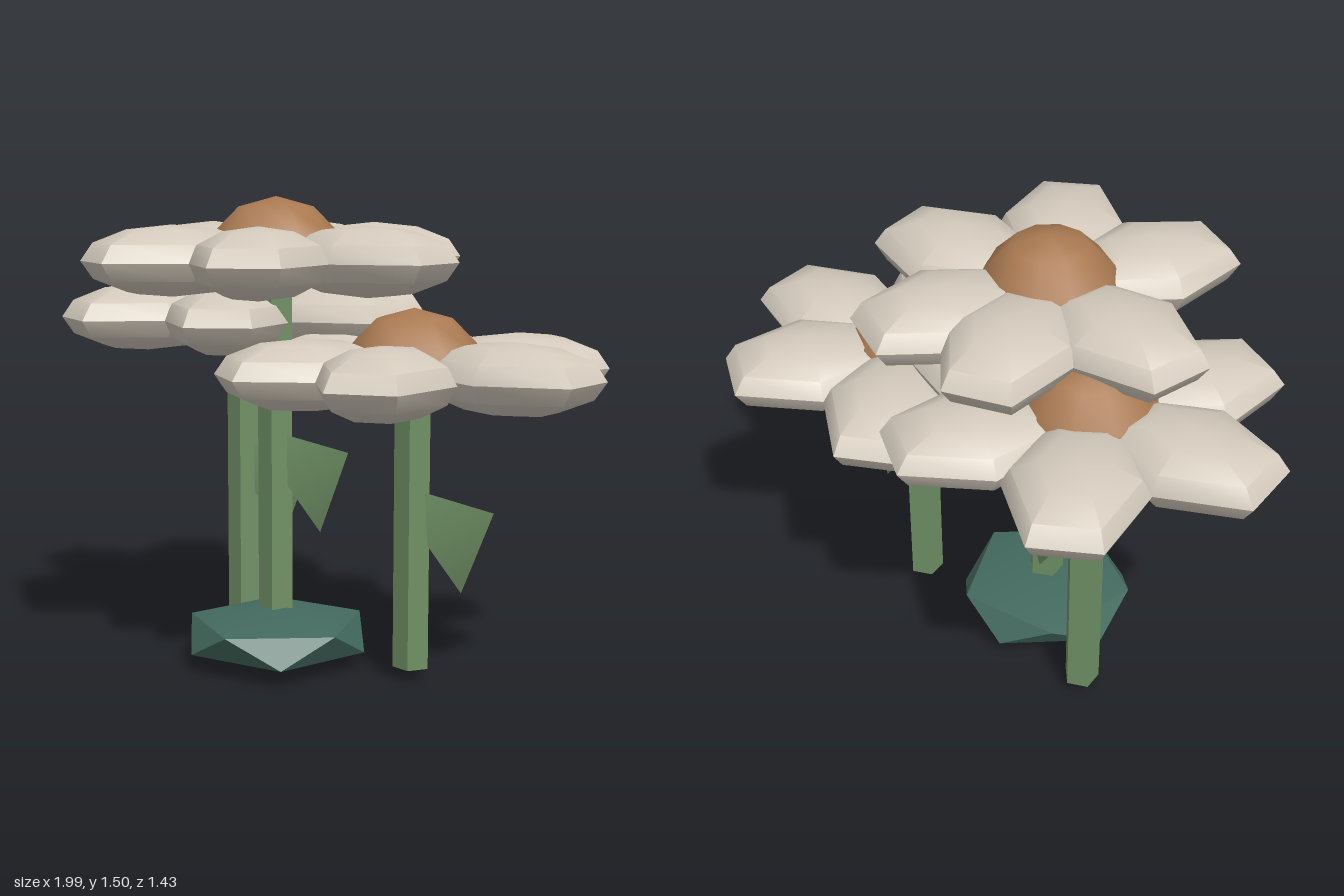
import * as THREE from 'three';
import { toCreasedNormals } from 'three/addons/utils/BufferGeometryUtils.js';

const CREASE = 0.75;
const mat = (name, color) => {
  const m = new THREE.MeshStandardMaterial({ color });
  m.name = name;
  return m;
};

export function createModel() {
  const petalMat = mat('petal cream', 0xd3cabc);
  const centreMat = mat('centre brown', 0xaa7a52);
  const greenMat = mat('stem green', 0x6f9064);
  const baseMat = mat('base dark green', 0x436a5e);

  // One petal: low ellipsoid with a blunt outer end, pointing along +z
  const petalGeo = toCreasedNormals(
    new THREE.SphereGeometry(1, 6, 6).scale(0.213, 0.11, 0.3).translate(0, 0, 0.345), CREASE);
  // Flower centre: flat-bottomed dome
  const domeProfile = [new THREE.Vector2(0, 0)];
  for (let i = 0; i <= 3; i++) {
    const a = i * Math.PI / 6;
    domeProfile.push(new THREE.Vector2(0.235 * Math.cos(a), 0.24 * Math.sin(a)));
  }
  const centreGeo = toCreasedNormals(new THREE.LatheGeometry(domeProfile, 10), CREASE);
  // Leaf: flattened four-sided cone, tip up and outwards
  const leafGeo = toCreasedNormals(
    new THREE.ConeGeometry(0.165, 0.248, 4).scale(1, 1, 0.39).rotateZ(-Math.PI / 3), CREASE);

  const add = (parent, name, geo, material, x = 0, y = 0, z = 0) => {
    const mesh = new THREE.Mesh(geo, material);
    mesh.name = name;
    mesh.position.set(x, y, z);
    parent.add(mesh);
    return mesh;
  };

  // Petal angles are in degrees from +x towards +z
  const flower = (name, x, z, headY, leafY, petalAngles) => {
    const g = new THREE.Group();
    g.name = name;
    g.position.set(x, 0, z);
    // Five-sided stem with a flat face to the front
    const bottom = 0.042, h = headY - bottom;
    const stemGeo = toCreasedNormals(
      new THREE.CylinderGeometry(0.059, 0.059, h, 5).rotateY(Math.PI), CREASE);
    add(g, 'stem', stemGeo, greenMat, 0, bottom + h / 2, 0);
    add(g, 'leaf', leafGeo, greenMat, 0.242, leafY, 0);
    add(g, 'flowerCentre', centreGeo, centreMat, 0, headY - 0.046, 0);
    for (const angle of petalAngles) {
      add(g, 'petal', petalGeo, petalMat, 0, headY, 0).rotation.y =
        THREE.MathUtils.degToRad(90 - angle);
    }
    return g;
  };

  const model = new THREE.Group();
  model.name = 'flowerCluster';
  model.add(
    flower('tallFlower', -0.024, 0.104, 1.312, 0.676, [47, 105, 181.5, 239.5, 284, 345.5]),
    flower('middleFlower', -0.387, -0.045, 1.112, 0.586, [45, 104, 164, 227, 292, 347]),
    flower('shortFlower', 0.38, -0.114, 0.977, 0.524, [57, 112, 172, 230, 293.5, 347]));

  // Faceted base: squashed icosahedron standing on a corner
  const baseGeo = new THREE.IcosahedronGeometry(1, 0)
    .rotateZ(-Math.atan(2 / (1 + Math.sqrt(5))))
    .scale(0.325, 0.102, 0.325);
  add(model, 'base', toCreasedNormals(baseGeo, CREASE), baseMat, -0.024, 0.103, 0.105);
  return model;
}
